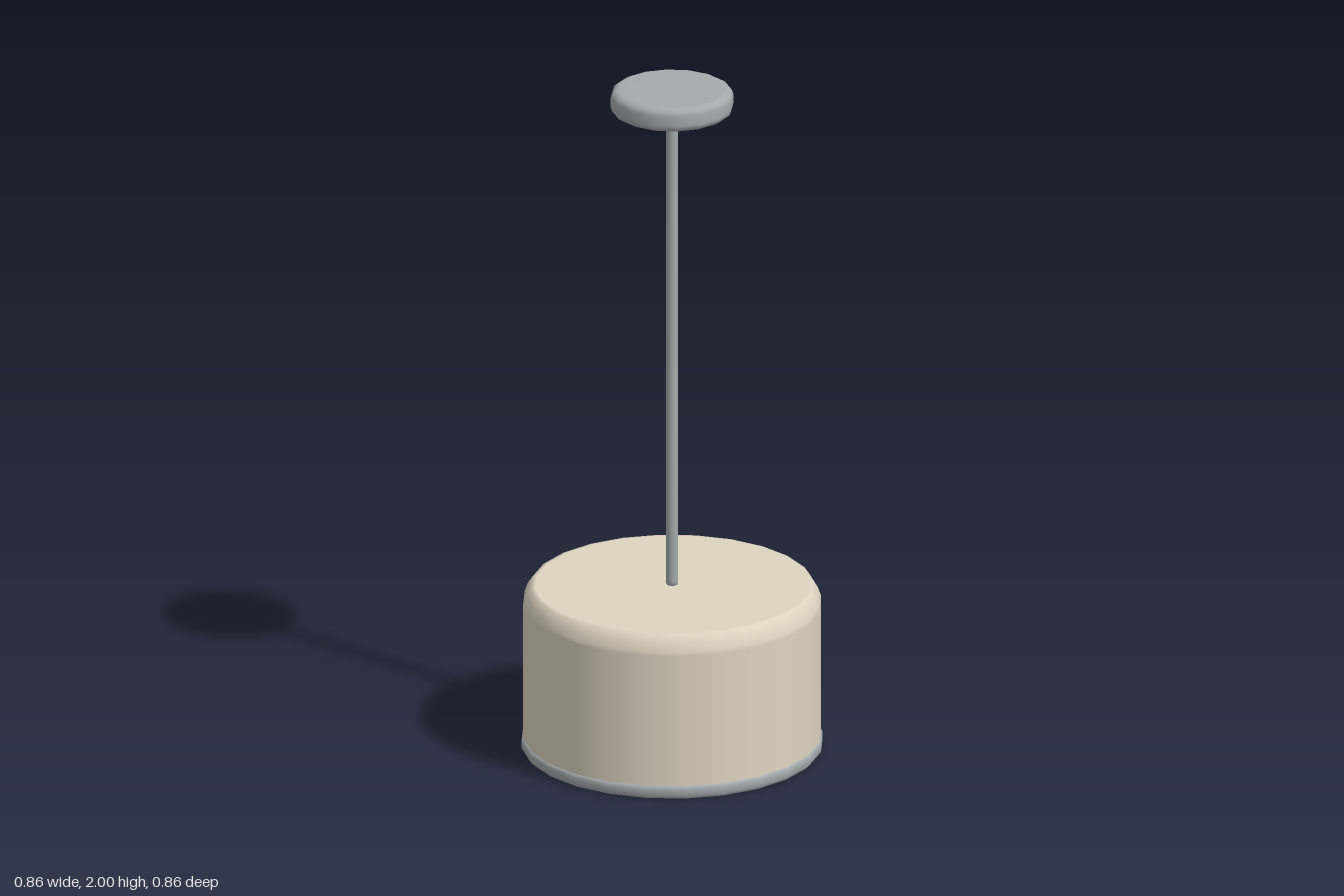
import * as THREE from 'three';

// Turned part; profile runs from bottom to top as [radius, height]
function turned(name, profile, sides, color) {
  const points = profile.map(([r, y]) => new THREE.Vector2(r, y));
  const material = new THREE.MeshStandardMaterial({ color });
  const mesh = new THREE.Mesh(new THREE.LatheGeometry(points, sides), material);
  mesh.name = name;
  return mesh;
}

export function createModel() {
  const metal = 0xa3abae, fabric = 0xdfd4c1;
  const lamp = new THREE.Group();
  lamp.name = 'pendantLamp';

  // Drum shade; the support rings beside the bevel keep the flat faces flat
  lamp.add(turned('shade', [
    [0.425, 0.03], [0.425, 0.435], [0.425, 0.447], [0.416, 0.472],
    [0.402, 0.493], [0.39, 0.495], [0, 0.495],
  ], 24, fabric));

  // Metal rim with a closed underside
  lamp.add(turned('rim', [
    [0, 0], [0.415, 0], [0.422, 0.002], [0.43, 0.012],
    [0.43, 0.03], [0.426, 0.04], [0.415, 0.041],
  ], 24, metal));

  // Suspension rod with slightly bevelled lower end
  lamp.add(turned('rod', [
    [0, 0.492], [0.014, 0.492], [0.018, 0.502], [0.018, 0.51], [0.018, 1.94],
  ], 12, metal));

  // Ceiling canopy with rounded edges
  lamp.add(turned('canopy', [
    [0, 1.93], [0.15, 1.93], [0.16, 1.931], [0.171, 1.938], [0.175, 1.95],
    [0.175, 1.98], [0.171, 1.992], [0.16, 1.999], [0.15, 2], [0, 2],
  ], 16, metal));

  return lamp;
}
